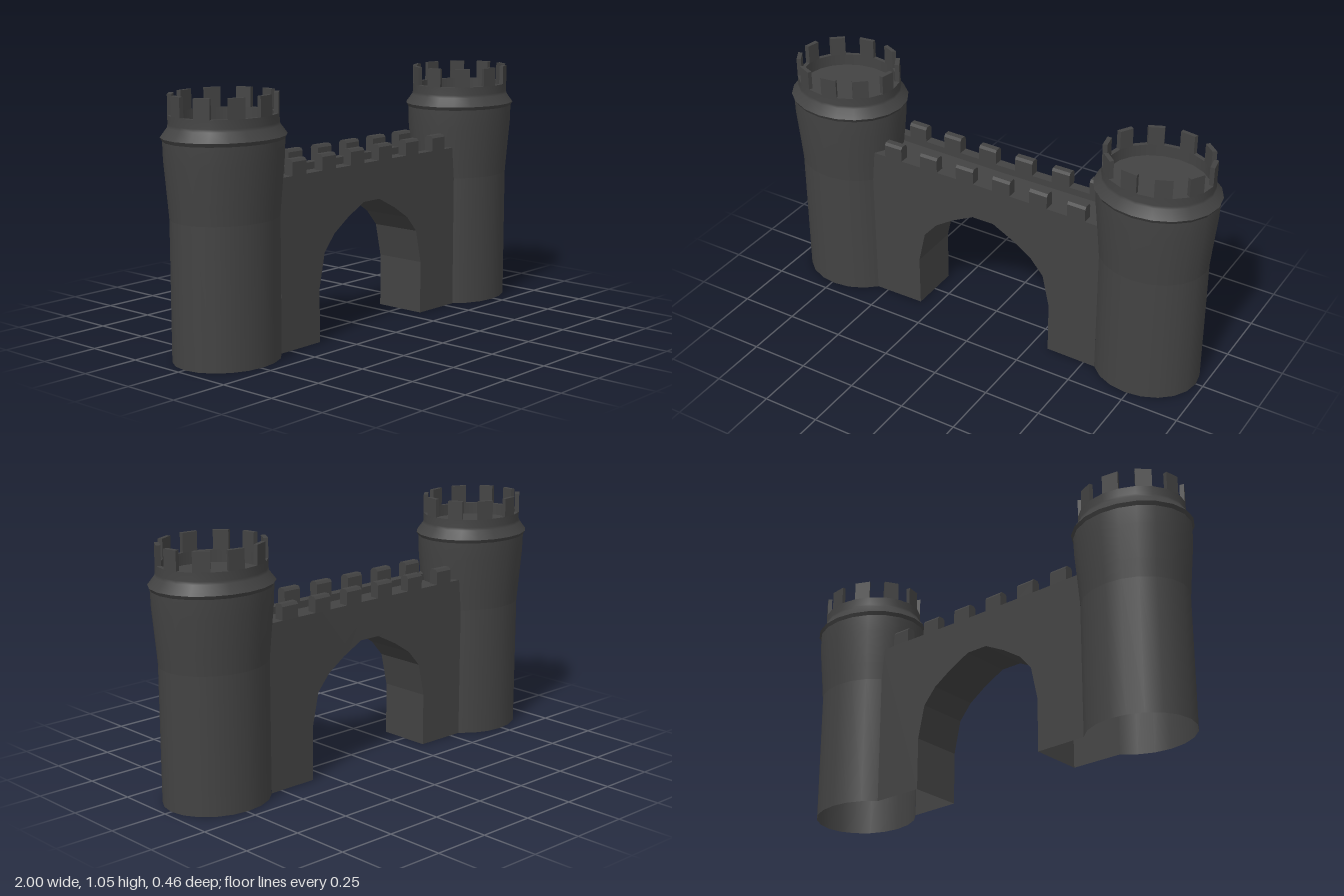
import * as THREE from 'three';

const SIDES = 20, STEP = (Math.PI * 2) / SIDES;
const TOWER_X = 0.738, STRETCH = 1.15;
const WALL_END = 0.552, WALL_TOP = 0.71;

const stone = new THREE.MeshStandardMaterial({ color: 0x434343, side: THREE.DoubleSide });
stone.name = 'dark stone';

// Wall half thickness, slightly waisted toward the middle
const halfDepth = (x) => 0.112 + 0.0105 * Math.abs(x);

function add(parent, name, geometry) {
  const mesh = new THREE.Mesh(geometry, stone);
  mesh.name = name;
  parent.add(mesh);
}

// Flat-faced sheet through rows of points
function sheet(rows) {
  const pos = [];
  for (let i = 0; i < rows.length - 1; i++) {
    for (let j = 0; j < rows[i].length - 1; j++) {
      const a = rows[i][j], b = rows[i + 1][j], c = rows[i + 1][j + 1], d = rows[i][j + 1];
      pos.push(...a, ...b, ...c, ...a, ...c, ...d);
    }
  }
  const g = new THREE.BufferGeometry();
  g.setAttribute('position', new THREE.Float32BufferAttribute(pos, 3));
  g.computeVertexNormals();
  return g;
}

const toShape = (points) => new THREE.Shape(points.map(([x, y]) => new THREE.Vector2(x, y)));

// Oval turned band of a tower
function band(profile, start = 0, count = SIDES) {
  const g = new THREE.LatheGeometry(profile.map(([r, y]) => new THREE.Vector2(r, y)), count, start, count * STEP);
  return g.scale(STRETCH, 1, 1);
}

function makeTower(side) {
  const tower = new THREE.Group();
  tower.name = side > 0 ? 'leftTower' : 'rightTower';
  tower.position.x = side * TOWER_X;

  // Lower shaft is open where the wall joins it
  const start = -side * Math.PI / 2 + 2 * STEP;
  add(tower, 'lowerShaft', band([[0.2, 0], [0.2, 0.57]], start, SIDES - 4));
  add(tower, 'flaredShaft', band([[0.2, 0.57], [0.206, 0.65], [0.218, 0.8], [0.22, 0.875]]));
  add(tower, 'collarUnderside', band([[0.22, 0.875], [0.228, 0.89]]));
  add(tower, 'collarSlope', band([[0.228, 0.89], [0.202, 0.928], [0.2, 0.94], [0.2, 0.975]]));
  add(tower, 'rim', band([[0.2, 0.975], [0.183, 0.975]]));
  add(tower, 'innerWall', band([[0.183, 0.975], [0.183, 0.925]]));
  add(tower, 'floor', band([[0.183, 0.925], [0, 0.925]]));

  // Ten battlements, one on every other side
  for (let k = 0; k < SIDES / 2; k++) {
    const a0 = (2 * k + 1) * STEP, a1 = a0 + STEP;
    const corner = (r, a) => [side * STRETCH * r * Math.cos(a), -r * Math.sin(a)];
    const shape = toShape([corner(0.2, a0), corner(0.2, a1), corner(0.183, a1), corner(0.183, a0)]);
    const g = new THREE.ExtrudeGeometry(shape, { depth: 0.08, bevelEnabled: false });
    add(tower, 'towerBattlement', g.rotateX(-Math.PI / 2).translate(0, 0.975, 0));
  }
  return tower;
}

function makeWall() {
  const wall = new THREE.Group();
  wall.name = 'gateWall';

  // Arch outline, mirrored from its left half
  const half = [[-0.325, 0], [-0.325, 0.228], [-0.293, 0.372], [-0.233, 0.441], [-0.15, 0.495], [-0.05, 0.546]];
  const arch = [...half, ...half.map(([x, y]) => [-x, y]).reverse()];
  const outline = [[-WALL_END, WALL_TOP], [-WALL_END, 0], ...arch, [WALL_END, 0], [WALL_END, WALL_TOP], [0, WALL_TOP]];

  // Front and back faces
  for (const s of [1, -1]) {
    const g = new THREE.ShapeGeometry(toShape(outline));
    if (s < 0) g.rotateY(Math.PI);
    const p = g.attributes.position;
    for (let i = 0; i < p.count; i++) p.setZ(i, s * halfDepth(p.getX(i)));
    g.computeVertexNormals();
    add(wall, s > 0 ? 'frontFace' : 'backFace', g);
  }

  // Underside of the arch
  add(wall, 'archSoffit', sheet(arch.map(([x, y]) => [[x, y, -halfDepth(x)], [x, y, halfDepth(x)]])));

  // Sunken walkway between two parapets
  add(wall, 'walkway', sheet([-WALL_END, 0, WALL_END].map((x) => {
    const t = halfDepth(x), u = t - 0.042, low = WALL_TOP - 0.03;
    return [[x, WALL_TOP, t], [x, WALL_TOP, u], [x, low, u], [x, low, -u], [x, WALL_TOP, -u], [x, WALL_TOP, -t]];
  })));

  // Chamfered battlements along both parapets
  const section = [[0.112, 0], [0.112, 0.055], [0.103, 0.066], [0.078, 0.066], [0.07, 0.055], [0.07, 0]];
  for (const s of [1, -1]) {
    for (let k = 0; k < 6; k++) {
      const x = -0.441 + k * 0.1764;
      const shape = toShape(section.map(([z, y]) => [-s * z, y]));
      const g = new THREE.ExtrudeGeometry(shape, { depth: 0.083, bevelEnabled: false });
      g.rotateY(Math.PI / 2).translate(x - 0.0415, WALL_TOP, 0);
      const p = g.attributes.position;
      for (let i = 0; i < p.count; i++) p.setZ(i, p.getZ(i) + s * 0.0105 * Math.abs(p.getX(i)));
      add(wall, 'wallBattlement', g);
    }
  }
  return wall;
}

export function createModel() {
  const gate = new THREE.Group();
  gate.name = 'castleGate';
  gate.add(makeTower(1), makeTower(-1), makeWall());
  return gate;
}
